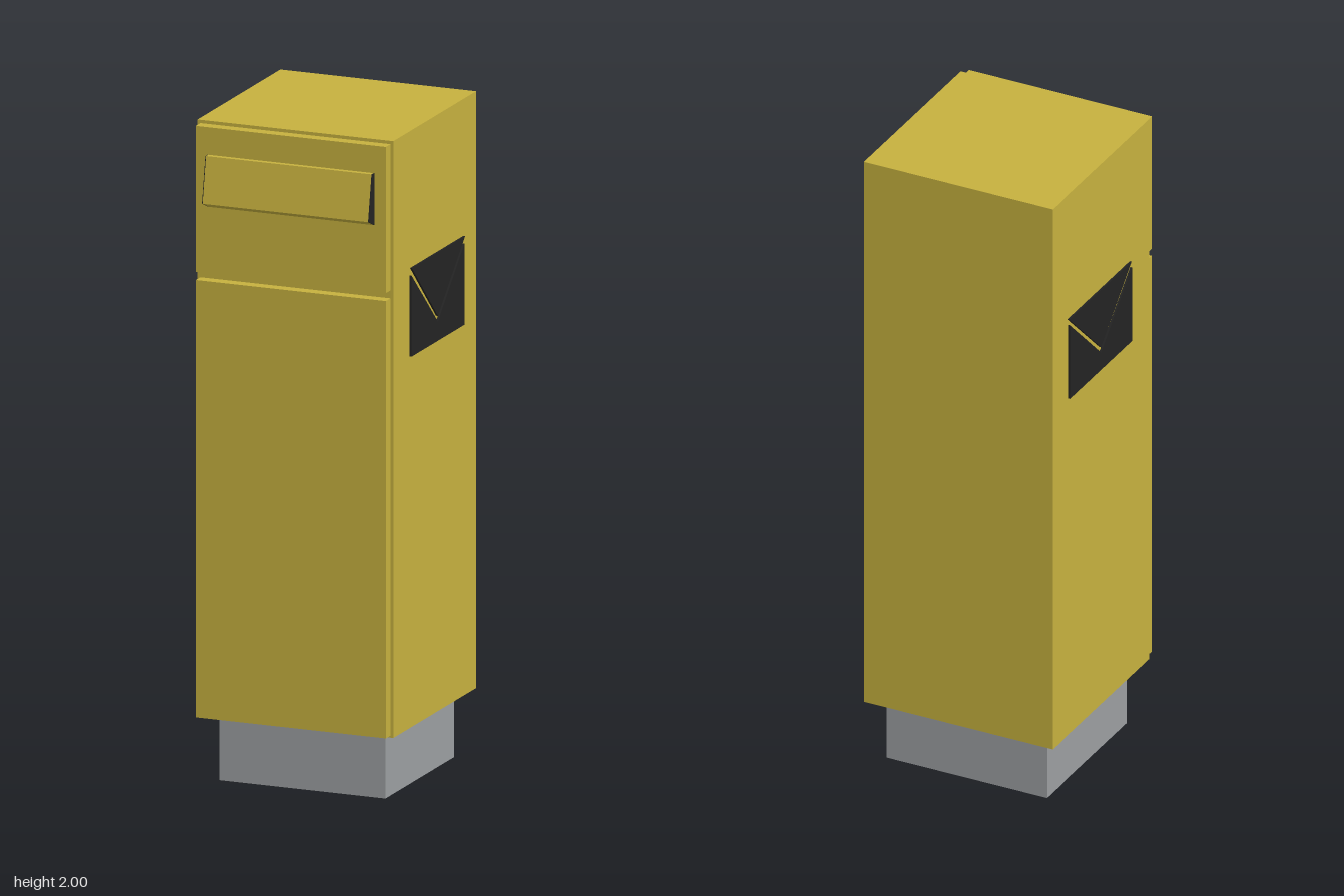
import * as THREE from 'three';

const material = (name, color) => {
  const m = new THREE.MeshStandardMaterial({ color });
  m.name = name;
  return m;
};

export function createModel() {
  const yellow = material('yellow paint', 0xc5b03e);
  const grey = material('grey metal', 0x9b9ea0);
  const black = material('black', 0x232323);
  const group = new THREE.Group();

  const add = (name, geometry, mat) => {
    const mesh = new THREE.Mesh(geometry, mat);
    mesh.name = name;
    group.add(mesh);
    return mesh;
  };

  // Box given by its limits on each axis
  const box = (name, [x0, x1], [y0, y1], [z0, z1], mat) => {
    const g = new THREE.BoxGeometry(x1 - x0, y1 - y0, z1 - z0);
    g.translate((x0 + x1) / 2, (y0 + y1) / 2, (z0 + z1) / 2);
    return add(name, g, mat);
  };

  const polygon = (points) => new THREE.Shape(points.map(([a, b]) => new THREE.Vector2(a, b)));

  // Shape drawn in (z, y), extruded in x from x0 to x1
  const sidePlate = (points, x0, x1) => {
    const g = new THREE.ExtrudeGeometry(polygon(points), { depth: x1 - x0, bevelEnabled: false });
    return g.rotateY(-Math.PI / 2).translate(x1, 0, 0);
  };

  // Upright rectangular tube, open at top and bottom
  const rect = (hx, z0, z1) => [[-hx, -z0], [-hx, -z1], [hx, -z1], [hx, -z0]];
  const tube = (name, outer, inner, y0, y1, mat) => {
    const shape = polygon(rect(...outer));
    shape.holes.push(polygon(rect(...inner)));
    const g = new THREE.ExtrudeGeometry(shape, { depth: y1 - y0, bevelEnabled: false });
    return add(name, g.rotateX(-Math.PI / 2).translate(0, y0, 0), mat);
  };

  // Hollow plinth, open below
  const plinth = [0.263, -0.29, 0.217];
  const plinthInner = [0.259, -0.286, 0.213];
  tube('plinth', plinth, plinthInner, 0, 0.2, grey);

  // Hollow cabinet: floor rim, walls and roof
  const cabinet = [0.31, -0.343, 0.268];
  tube('cabinetFloorRim', cabinet, plinthInner, 0.2, 0.204, yellow);
  tube('cabinetWalls', cabinet, [0.305, -0.338, 0.263], 0.204, 1.99, yellow);
  box('cabinetRoof', [-0.31, 0.31], [1.99, 2], [-0.343, 0.268], yellow);

  // Front panels with a gap between them
  box('lowerDoor', [-0.301, 0.301], [0.206, 1.525], [0.268, 0.302], yellow);
  box('upperPanel', [-0.301, 0.301], [1.549, 1.99], [0.268, 0.302], yellow);

  // Sloping hood over the letter slot, with dark cheeks
  const hood = [[0.302, 1.75], [0.343, 1.769], [0.318, 1.907], [0.302, 1.907]];
  add('slotHood', sidePlate(hood, -0.262, 0.262), yellow);
  for (const [name, x0] of [['leftHoodCheek', 0.262], ['rightHoodCheek', -0.264]]) {
    add(name, sidePlate(hood, x0, x0 + 0.002), black);
  }

  // Envelope sign on both sides: pocket below, folded flap above
  const pocket = [[-0.243, 1.321], [0.148, 1.321], [0.148, 1.566], [-0.047, 1.379], [-0.243, 1.566]];
  const flap = [[-0.047, 1.396], [0.145, 1.587], [-0.248, 1.587]];
  for (const [side, x0] of [['left', 0.31], ['right', -0.316]]) {
    add(side + 'EnvelopePocket', sidePlate(pocket, x0, x0 + 0.006), black);
    add(side + 'EnvelopeFlap', sidePlate(flap, x0, x0 + 0.006), black);
  }

  return group;
}
